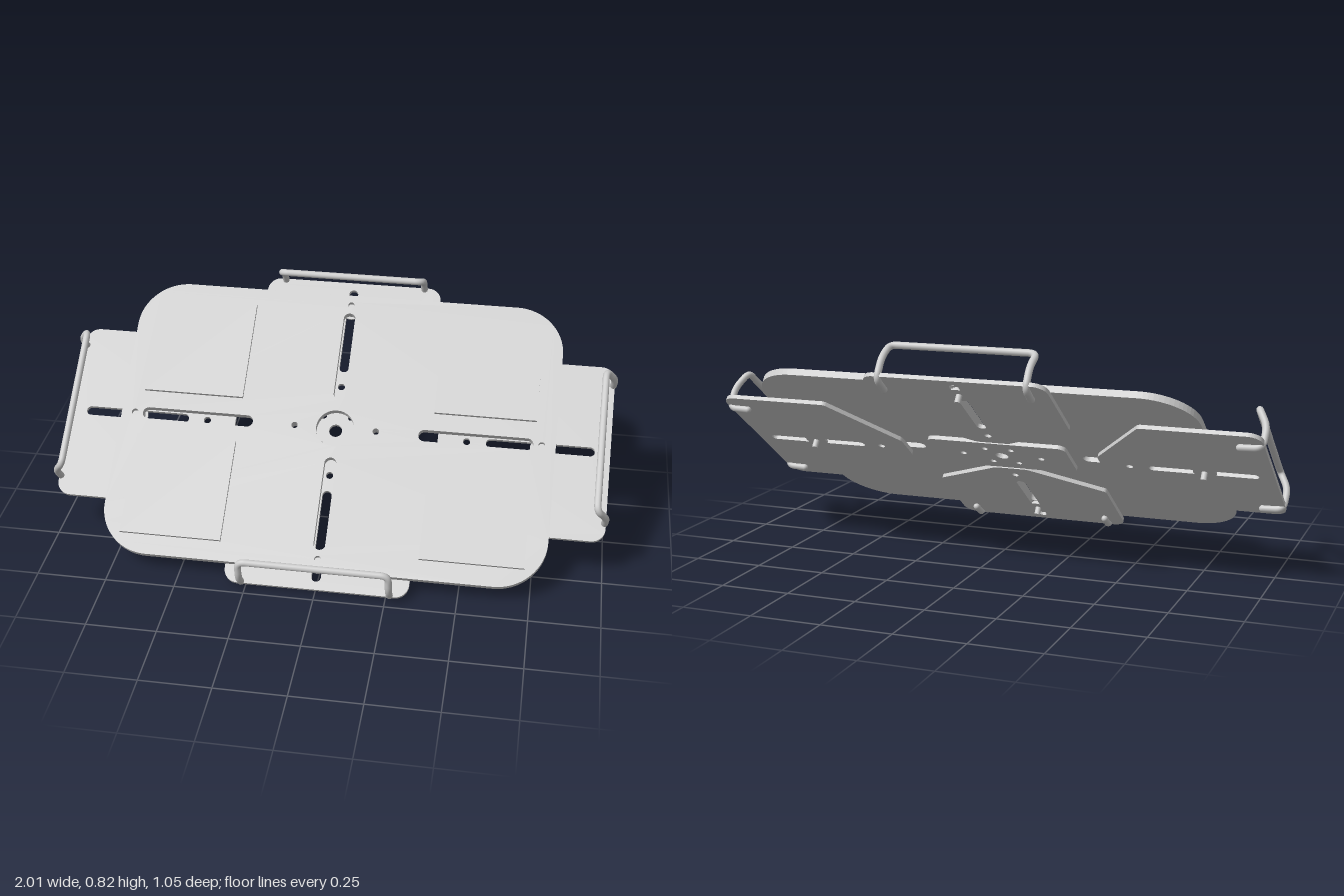
import * as THREE from 'three';

const mat = new THREE.MeshStandardMaterial({ color: 0xcccccc });

function mesh(name, geometry, parent) {
  const m = new THREE.Mesh(geometry, mat);
  m.name = name;
  parent.add(m);
  return m;
}

// Closed outline with rounded corners; each corner is [x, y, radius]
function outline(corners, Type = THREE.Shape) {
  const s = new Type();
  const n = corners.length;
  corners.forEach(([x, y, r], i) => {
    const p = new THREE.Vector2(x, y);
    const ends = [corners[(i + n - 1) % n], corners[(i + 1) % n]].map(([a, b]) =>
      new THREE.Vector2(a, b).sub(p).normalize().multiplyScalar(r).add(p));
    if (i === 0) s.moveTo(ends[0].x, ends[0].y);
    else s.lineTo(ends[0].x, ends[0].y);
    // cubic close to a circular arc
    const k = 0.552;
    const c = ends.map((e) => e.clone().lerp(p, k));
    if (r > 0) s.bezierCurveTo(c[0].x, c[0].y, c[1].x, c[1].y, ends[1].x, ends[1].y);
  });
  s.closePath();
  return s;
}

const rect = (w, h, r) => outline([[-w, -h, r], [w, -h, r], [w, h, r], [-w, h, r]]);

function hole(x, y, r) {
  const p = new THREE.Path();
  p.absarc(x, y, r, 0, Math.PI * 2, true);
  return p;
}

// Round-ended slot along y, or along x when turned
function slot(from, to, r, alongX = false) {
  const [a, b] = [Math.min(from, to) + r, Math.max(from, to) - r];
  const p = new THREE.Path();
  if (alongX) {
    p.absarc(b, 0, r, -Math.PI / 2, Math.PI / 2, false);
    p.absarc(a, 0, r, Math.PI / 2, Math.PI * 1.5, false);
  } else {
    p.absarc(0, b, r, 0, Math.PI, false);
    p.absarc(0, a, r, Math.PI, Math.PI * 2, false);
  }
  p.closePath();
  return p;
}

// Flat sheet between two heights
function sheet(name, shape, bottom, top, parent) {
  const g = new THREE.ExtrudeGeometry(shape, { depth: top - bottom, bevelEnabled: false, curveSegments: 16 });
  g.translate(0, 0, bottom);
  return mesh(name, g, parent);
}

// Bent round wire through points, with filleted bends
function wire(name, points, bend, radius, parent) {
  const pts = points.map((p) => new THREE.Vector3(...p));
  const path = new THREE.CurvePath();
  let last = pts[0];
  for (let i = 1; i < pts.length - 1; i++) {
    const [a, b] = [pts[i - 1], pts[i + 1]].map((q) => {
      const d = q.clone().sub(pts[i]);
      return d.setLength(Math.min(bend, d.length() * 0.48)).add(pts[i]);
    });
    path.add(new THREE.LineCurve3(last, a));
    path.add(new THREE.QuadraticBezierCurve3(a, pts[i], b));
    last = b;
  }
  path.add(new THREE.LineCurve3(last, pts[pts.length - 1]));
  mesh(name, new THREE.TubeGeometry(path, 160, radius, 12, false), parent);
  for (const end of [pts[0], pts[pts.length - 1]]) {
    mesh(name + 'End', new THREE.SphereGeometry(radius, 12, 8), parent).position.copy(end);
  }
}

// Washer and domed socket screw under the wing
function bolt(y, parent) {
  const g = new THREE.Group();
  g.name = 'bolt';
  g.position.set(0, y, -0.04);
  g.rotation.x = -Math.PI / 2;
  parent.add(g);
  mesh('washer', new THREE.CylinderGeometry(0.042, 0.042, 0.006, 32), g).position.y = -0.003;
  const profile = [[0.014, -0.018], [0.014, -0.027], [0.02, -0.027], [0.028, -0.022], [0.032, -0.014], [0.032, -0.006]];
  mesh('boltHead', new THREE.LatheGeometry(profile.map(([a, b]) => new THREE.Vector2(a, b)), 24), g);
  mesh('boltSocket', new THREE.CylinderGeometry(0.0145, 0.0145, 0.008, 6), g).position.y = -0.02;
  mesh('boltShaft', new THREE.CylinderGeometry(0.011, 0.011, 0.035, 16), g).position.y = 0.012;
}

// Sliding wing pointing along +y with its wire clip
function wing(name, { outer, corner, tip, half, slotFrom, slotTo, pin, boltAt, clip, angle }, parent) {
  const g = new THREE.Group();
  g.name = name;
  g.rotation.z = angle;
  parent.add(g);
  const s = outline([
    [-0.06, tip, 0.01], [0.06, tip, 0.01], [half, corner, 0.01],
    [half, outer, 0.05], [-half, outer, 0.05], [-half, corner, 0.01],
  ]);
  s.holes.push(slot(slotFrom, slotTo, 0.017), hole(0, pin, 0.013));
  sheet('wingPlate', s, -0.04, -0.025, g);
  const leg = [[outer - 0.08, -0.05], [outer - 0.006, -0.047], [outer - 0.002, 0.033], [outer - 0.038, 0.1]];
  const points = [
    ...leg.map(([y, z]) => [-clip, y, z]),
    ...leg.slice().reverse().map(([y, z]) => [clip, y, z]),
  ];
  wire('wireClip', points, 0.028, 0.0125, g);
  bolt(boltAt, g);
}

export function createModel() {
  const model = new THREE.Group();
  model.name = 'adjustableTray';

  // Everything lies in one tilted plane: x across, y up the slope, z out of the face
  const tilt = new THREE.Group();
  tilt.name = 'tiltedAssembly';
  tilt.rotation.x = THREE.MathUtils.degToRad(-54);
  tilt.position.set(0, 0.402, -0.01);
  model.add(tilt);

  // Main plate with slots, pin holes and centre bore
  const plate = rect(0.8, 0.54, 0.18);
  plate.holes.push(hole(0, 0, 0.07));
  for (const s of [-1, 1]) {
    plate.holes.push(
      slot(s * 0.305, s * 0.72, 0.022, true), slot(s * 0.115, s * 0.465, 0.022),
      hole(s * 0.15, 0, 0.012), hole(s * 0.75, 0, 0.012), hole(0, s * 0.5, 0.012));
  }
  sheet('mainPlate', plate, -0.025, 0, tilt);

  // Mounting plate under the centre
  const mount = rect(0.265, 0.105, 0.03);
  mount.holes.push(hole(0, 0, 0.024));
  for (const s of [-1, 1]) {
    mount.holes.push(hole(s * 0.15, 0, 0.012), hole(s * 0.05, 0.055, 0.011), hole(s * 0.05, -0.055, 0.011));
  }
  sheet('mountingPlate', mount, -0.04, -0.025, tilt);

  // Four grip pads
  for (const x of [-1, 1]) {
    for (const y of [-1, 1]) {
      mesh('gripPad', new THREE.BoxGeometry(0.37, 0.38, 0.012), tilt).position.set(x * 0.54, y * 0.278, 0.006);
    }
  }

  // Wings on the four sides
  const side = { outer: 0.995, corner: 0.58, tip: 0.375, half: 0.335, slotFrom: 0.55, slotTo: 0.94, pin: 0.48, boltAt: 0.75, clip: 0.265 };
  const end = { outer: 0.605, corner: 0.27, tip: 0.115, half: 0.33, slotFrom: 0.235, slotTo: 0.575, pin: 0.175, boltAt: 0.5, clip: 0.265 };
  wing('upperWing', { ...end, angle: 0 }, tilt);
  wing('lowerWing', { ...end, angle: Math.PI }, tilt);
  wing('leftWing', { ...side, angle: -Math.PI / 2 }, tilt);
  wing('rightWing', { ...side, angle: Math.PI / 2 }, tilt);

  return model;
}
